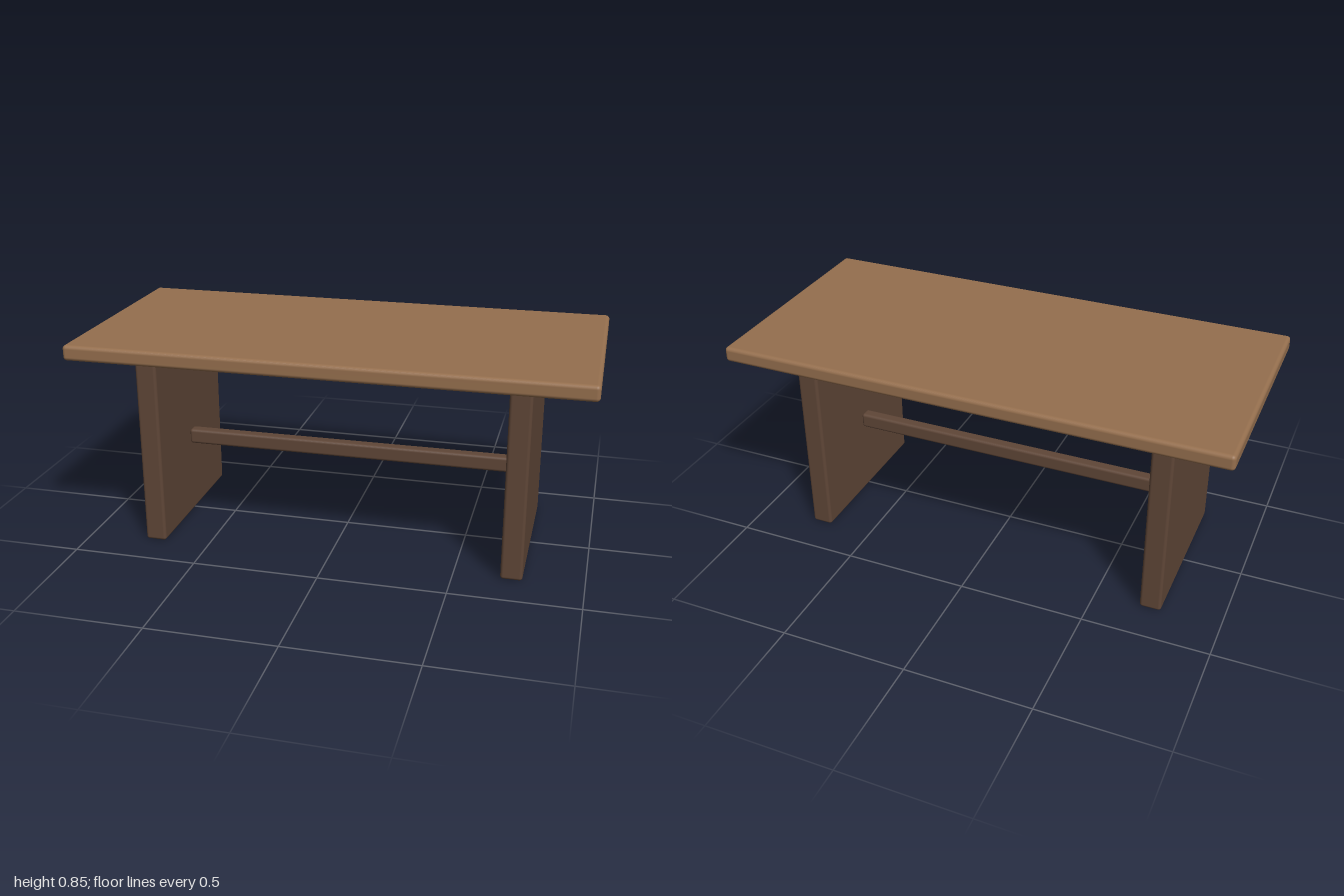
import * as THREE from 'three';
import { RoundedBoxGeometry } from 'three/addons/geometries/RoundedBoxGeometry.js';

export function createModel() {
  const table = new THREE.Group();
  table.name = 'table';
  const topWood = new THREE.MeshStandardMaterial({ color: 0x956f4e });
  const darkWood = new THREE.MeshStandardMaterial({ color: 0x5f4637 });

  // Softly rounded board, placed by its centre
  const addBoard = (name, material, [w, h, d], [x, y, z], radius) => {
    const board = new THREE.Mesh(new RoundedBoxGeometry(w, h, d, 4, radius), material);
    board.name = name;
    board.position.set(x, y, z);
    table.add(board);
  };

  // Top, floating just above the legs
  addBoard('tableTop', topWood, [2, 0.061, 0.944], [0, 0.815, 0], 0.015);

  // Panel legs
  for (const [side, name] of [[1, 'leftLeg'], [-1, 'rightLeg']]) {
    addBoard(name, darkWood, [0.085, 0.778, 0.688], [side * 0.723, 0.389, 0], 0.012);
  }

  // Stretcher between the legs
  addBoard('stretcher', darkWood, [1.365, 0.063, 0.05], [0, 0.337, 0], 0.012);

  return table;
}
